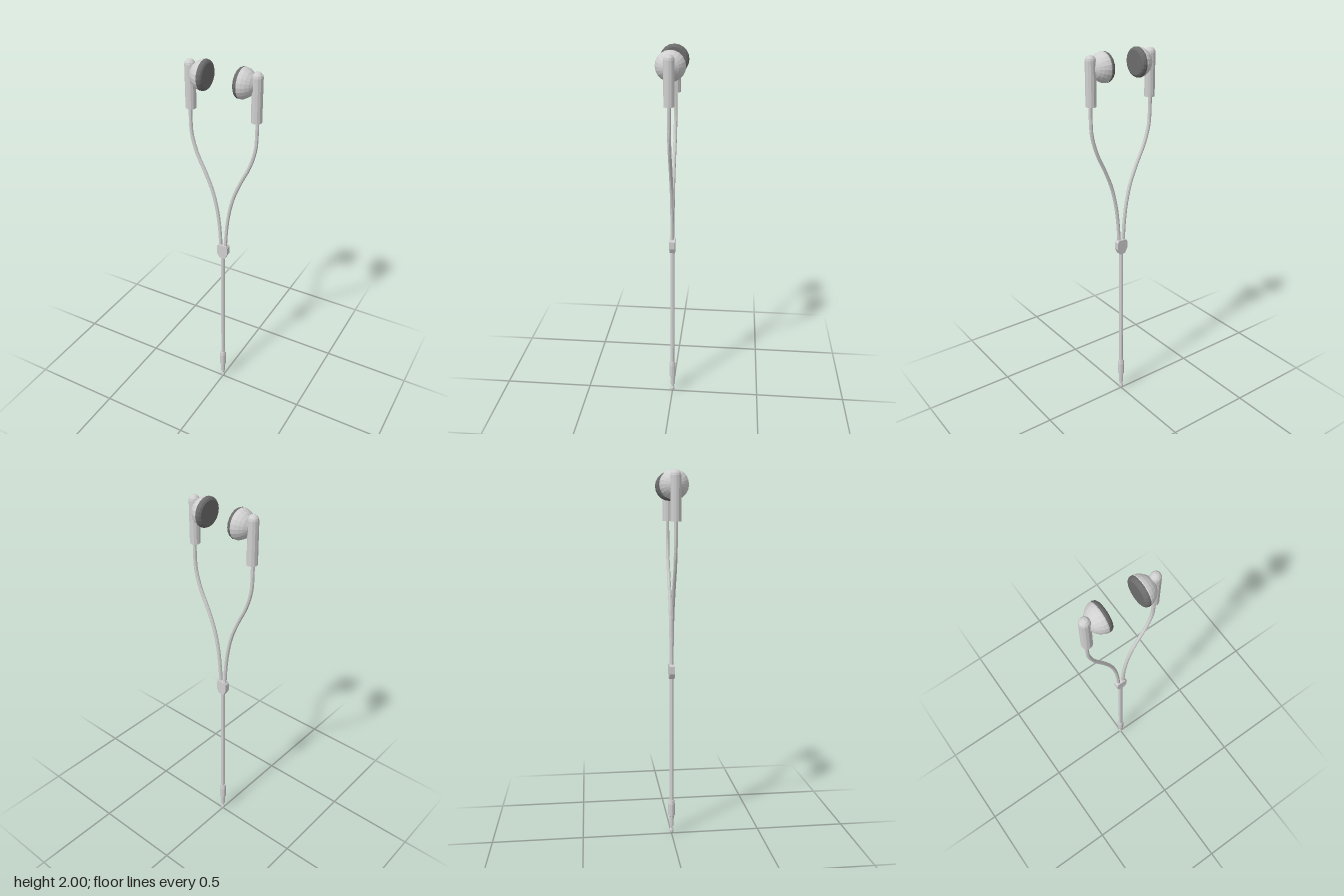
import * as THREE from 'three';

const shell = new THREE.MeshStandardMaterial({ color: 0xd0d0d0, flatShading: true });
shell.name = 'light grey plastic';
const pad = new THREE.MeshStandardMaterial({ color: 0x6c6c6c, flatShading: true });
pad.name = 'dark grey pad';

function add(parent, name, geometry, material) {
  const mesh = new THREE.Mesh(geometry, material);
  mesh.name = name;
  parent.add(mesh);
  return mesh;
}

// Profile of [radius, height] pairs, listed from bottom to top
function lathe(profile, sides) {
  return new THREE.LatheGeometry(profile.map(([r, y]) => new THREE.Vector2(r, y)), sides);
}

function cable(points, radius, segments) {
  const curve = new THREE.CatmullRomCurve3(points.map(([x, y]) => new THREE.Vector3(x, y, 0)));
  return new THREE.TubeGeometry(curve, segments, radius, 8);
}

// One earbud with its stem and branch cable, on the +x side
function makeEarbud() {
  const bud = new THREE.Group();

  // Domed housing and speaker pad, turned so the pad faces the middle
  const housing = add(bud, 'housing', lathe([
    [0.074, 0.103], [0.0755, 0.11], [0.071, 0.125], [0.061, 0.142],
    [0.047, 0.157], [0.028, 0.169], [0, 0.175],
  ], 20), shell);
  const face = add(bud, 'speakerPad', lathe([
    [0, 0.08], [0.062, 0.081], [0.071, 0.087], [0.0755, 0.096], [0.0755, 0.105],
  ], 20), pad);
  for (const part of [housing, face]) {
    part.rotation.z = -Math.PI / 2;
    part.position.y = 1.925;
  }

  // Stem with a rounded top and a shallow socket for the cable
  add(bud, 'stem', lathe([
    [0, 1.757], [0.018, 1.757], [0.02, 1.745], [0.027, 1.745], [0.027, 1.965],
    [0.024, 1.977], [0.015, 1.987], [0, 1.991],
  ], 12), shell).position.x = 0.18;

  add(bud, 'branchCable', cable([
    [0.184, 1.77], [0.184, 1.68], [0.179, 1.6], [0.15, 1.5], [0.102, 1.4],
    [0.061, 1.3], [0.036, 1.2], [0.022, 1.1], [0.015, 1.0], [0.014, 0.96],
  ], 0.0095, 28), shell);
  return bud;
}

export function createModel() {
  const model = new THREE.Group();
  model.name = 'earphones';

  const left = makeEarbud();
  left.name = 'leftEarbud';
  const right = makeEarbud();
  right.name = 'rightEarbud';
  right.rotation.y = Math.PI;
  model.add(left, right);

  // Flat tapered block where the cables join
  const outline = [[-0.016, 0.906], [0.016, 0.906], [0.031, 0.935], [0.031, 0.975],
    [0.022, 0.987], [-0.022, 0.987], [-0.031, 0.975], [-0.031, 0.935]];
  const block = new THREE.ExtrudeGeometry(
    new THREE.Shape(outline.map(([x, y]) => new THREE.Vector2(x, y))),
    { depth: 0.03, bevelEnabled: false });
  block.translate(0, 0, -0.015);
  add(model, 'splitter', block, shell);

  add(model, 'mainCable', cable([[0, 0.19], [0, 0.92]], 0.0115, 1), shell);

  // Plug grip, sleeve and ball tip
  add(model, 'plug', lathe([
    [0, 0], [0.007, 0.001], [0.012, 0.012], [0.012, 0.022], [0.007, 0.034],
    [0.007, 0.045], [0.012, 0.047], [0.013, 0.105], [0.019, 0.11],
    [0.019, 0.178], [0.015, 0.203], [0, 0.203],
  ], 12), shell);

  return model;
}
